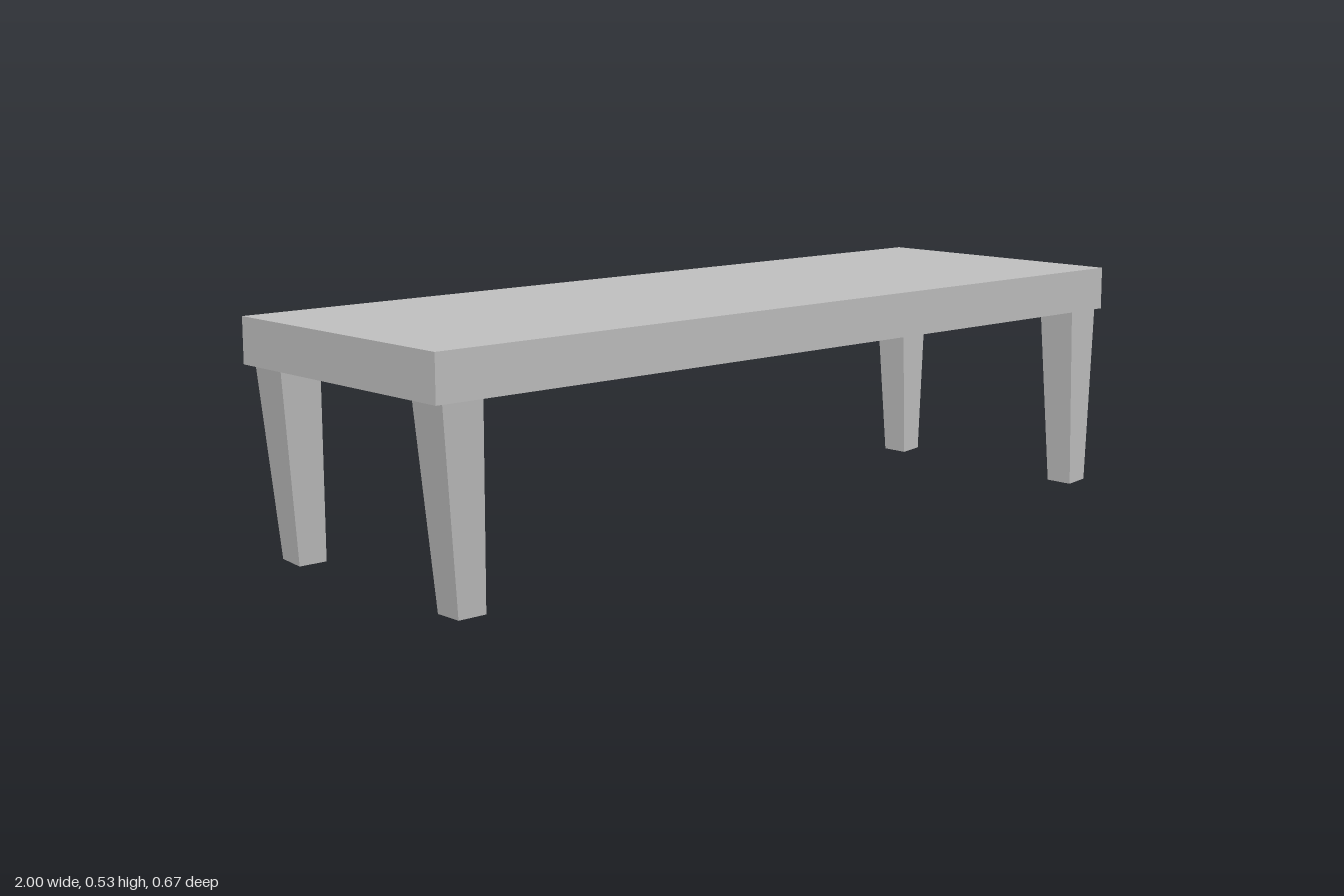
import * as THREE from 'three';

// Tapered leg: a box whose corners are moved onto the top and bottom rectangles.
// Each rectangle is [xMin, xMax, zMin, zMax]; footY gives the height of a foot corner.
function taperedLeg(top, foot, footY, material) {
  const geometry = new THREE.BoxGeometry(1, 1, 1);
  const p = geometry.attributes.position;
  for (let i = 0; i < p.count; i++) {
    const upper = p.getY(i) > 0;
    const r = upper ? top : foot;
    const sx = p.getX(i) > 0 ? 1 : 0;
    const sz = p.getZ(i) > 0 ? 1 : 0;
    p.setXYZ(i, r[sx], upper ? 0.432 : footY(sx, sz), r[2 + sz]);
  }
  geometry.computeVertexNormals();
  return new THREE.Mesh(geometry, material);
}

export function createModel() {
  const group = new THREE.Group();
  group.name = 'lowTable';
  const grey = new THREE.MeshStandardMaterial({ color: 0xc0c0c0 });
  grey.name = 'plain grey';

  // Thick slab top
  const slab = new THREE.Mesh(new THREE.BoxGeometry(2, 0.1, 0.666), grey);
  slab.name = 'tableTop';
  slab.position.y = 0.48;
  group.add(slab);

  // Four legs, each leaning a little differently
  const legs = [
    ['frontRightLeg', [-0.985, -0.89, 0.236, 0.332], [-0.936, -0.87, 0.236, 0.302], () => 0.004],
    ['frontLeftLeg', [0.905, 0.994, 0.222, 0.318], [0.916, 0.971, 0.25, 0.318], (sx) => 0.005 * sx],
    ['backRightLeg', [-0.985, -0.89, -0.312, -0.218], [-0.936, -0.87, -0.312, -0.249], (sx, sz) => 0.012 - 0.005 * sz],
    ['backLeftLeg', [0.905, 0.994, -0.325, -0.23], [0.918, 0.972, -0.297, -0.23], (sx) => 0.005 * sx],
  ];
  for (const [name, top, foot, footY] of legs) {
    const leg = taperedLeg(top, foot, footY, grey);
    leg.name = name;
    group.add(leg);
  }
  return group;
}
